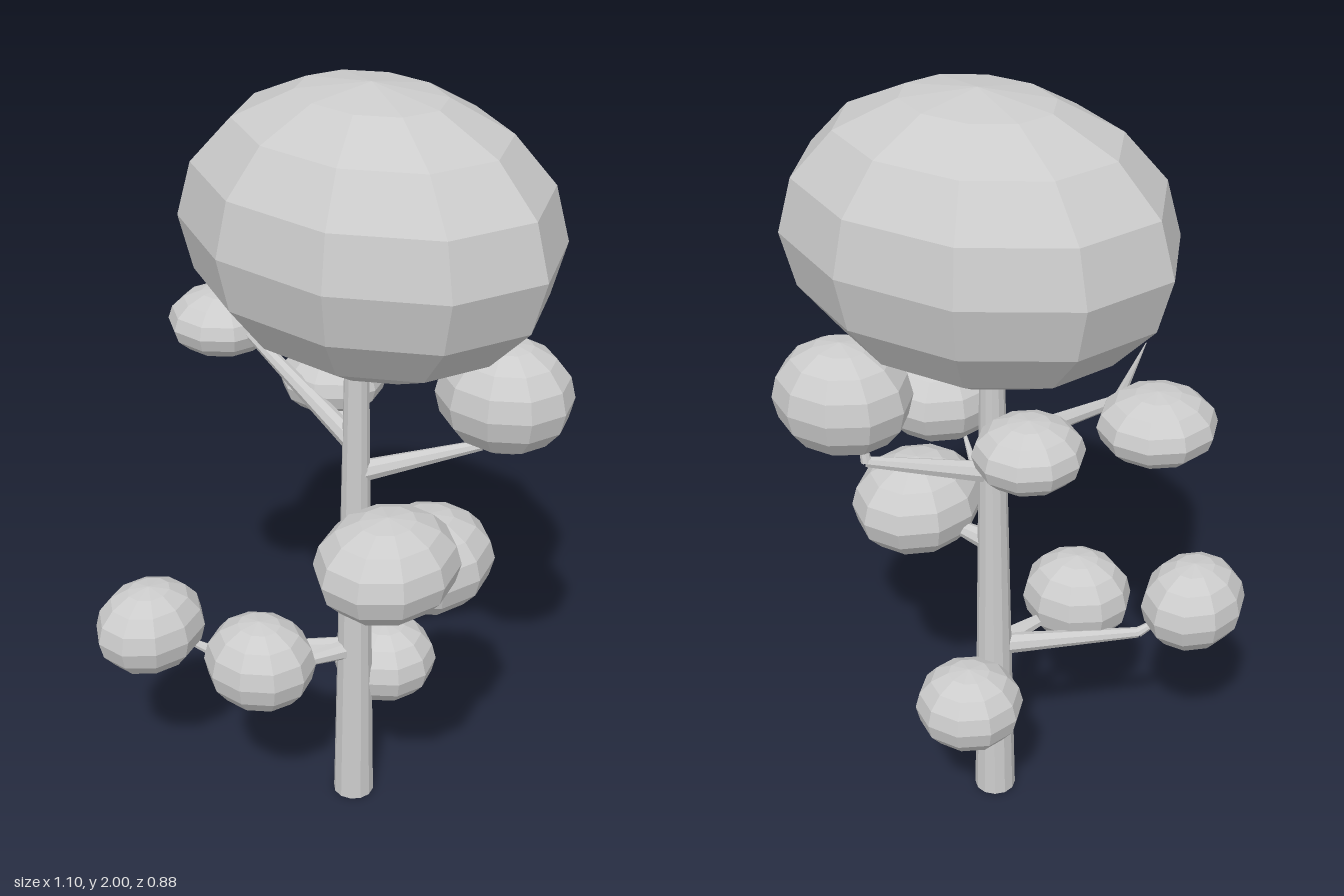
import * as THREE from 'three';

const material = new THREE.MeshStandardMaterial({ color: 0xcccccc, flatShading: true });

// Faceted leaf ball: centre, then half extents (z measured across the flats)
function foliage(name, [x, y, z], [rx, ry, rz]) {
  const mesh = new THREE.Mesh(new THREE.SphereGeometry(1, 10, 8), material);
  mesh.scale.set(rx, ry, rz / Math.sin(Math.PI * 0.4));
  mesh.position.set(x, y, z);
  mesh.name = name;
  return mesh;
}

// Tapered limb between two points
function limb(name, from, to, r0, r1, sides = 8) {
  const a = new THREE.Vector3(...from);
  const dir = new THREE.Vector3(...to).sub(a);
  const mesh = new THREE.Mesh(new THREE.CylinderGeometry(r1, r0, dir.length(), sides), material);
  mesh.position.copy(a).addScaledVector(dir, 0.5);
  mesh.quaternion.setFromUnitVectors(new THREE.Vector3(0, 1, 0), dir.normalize());
  mesh.name = name;
  return mesh;
}

// Each bough: leaf ball centre and size, height on the trunk, knee and tip of the branch
const boughs = [
  { c: [-0.41, 1.28, -0.07], r: [0.14, 0.085, 0.135], y: 1.08, knee: [-0.29, 1.29, -0.035], tip: [-0.35, 1.45, -0.02] },
  { c: [-0.13, 1.17, -0.17], r: [0.135, 0.087, 0.13], y: 1.06, knee: [-0.09, 1.14, -0.14], tip: [-0.13, 1.21, -0.17] },
  { c: [0.333, 1.235, -0.256], r: [0.175, 0.143, 0.15], y: 1.0, knee: [0.27, 1.07, -0.26], tip: [0.3, 1.22, -0.26] },
  { c: [0.36, 1.005, 0.235], r: [0.163, 0.125, 0.175], y: 0.82, knee: [0.2, 0.815, 0.145], tip: [0.3, 0.96, 0.21] },
  { c: [0.267, 0.845, -0.045], r: [0.162, 0.127, 0.172], y: 0.79, knee: [0.19, 0.81, -0.05], tip: [0.26, 0.87, -0.05] },
  { c: [-0.37, 0.543, 0.288], r: [0.133, 0.12, 0.148], y: 0.47, knee: [-0.26, 0.462, 0.19], tip: [-0.35, 0.53, 0.27] },
  { c: [-0.07, 0.515, 0.2], r: [0.148, 0.123, 0.13], y: 0.47, knee: [-0.03, 0.48, 0.12], tip: [-0.07, 0.54, 0.2] },
  { c: [0.035, 0.365, -0.185], r: [0.14, 0.112, 0.132], y: 0.33, knee: [0.035, 0.35, -0.15], tip: [0.035, 0.4, -0.19] },
];

export function createModel() {
  const tree = new THREE.Group();
  tree.name = 'tree';
  const tx = 0.038, tz = -0.053;

  tree.add(limb('trunk', [tx, 0, tz], [tx, 1.45, tz], 0.054, 0.028, 12));
  tree.add(foliage('crown', [0.055, 1.65, -0.077], [0.495, 0.35, 0.363]));

  // Side boughs: thick branch, pointed twig and leaf ball
  for (const { c, r, y, knee, tip } of boughs) {
    const bough = new THREE.Group();
    bough.name = 'bough';
    bough.add(
      limb('branch', [tx, y, tz], knee, 0.029, 0.014),
      limb('twig', knee, tip, 0.014, 0.001),
      foliage('leafBall', c, r),
    );
    tree.add(bough);
  }
  return tree;
}
